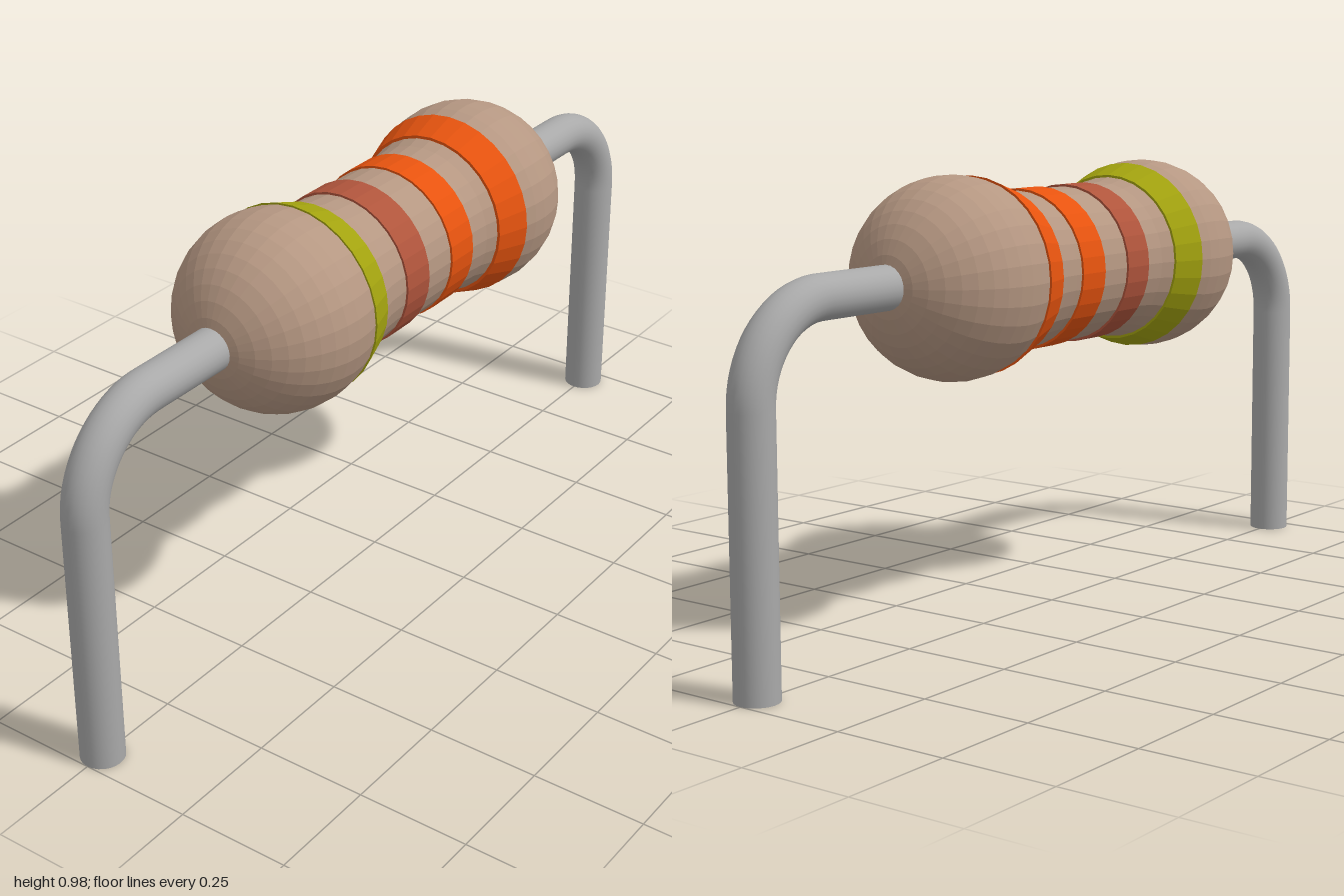
import * as THREE from 'three';

const AXIS_Y = 0.765, SIDES = 32;
const BULB_X = 0.35, BULB_R = 0.217, CORE_R = 0.171;
const WIRE_R = 0.047, WIRE_X = 0.953, BEND = 0.195;

function material(name, color) {
  const m = new THREE.MeshStandardMaterial({ color });
  m.name = name;
  return m;
}

// Faceted solid of revolution along x, from [x, radius] pairs with x ascending
function turned(name, profile, mat) {
  const points = profile.map(([x, r]) => new THREE.Vector2(r, x));
  const geo = new THREE.LatheGeometry(points, SIDES).rotateZ(-Math.PI / 2).toNonIndexed();
  geo.computeVertexNormals();
  const mesh = new THREE.Mesh(geo, mat);
  mesh.name = name;
  mesh.position.y = AXIS_Y;
  return mesh;
}

// Dumbbell body: round bulbs blending into a slimmer core
function bodyProfile() {
  const half = [[0, CORE_R], [0.14, CORE_R], [0.18, 0.174], [0.217, 0.183], [0.25, 0.194]];
  const start = Math.acos((0.287 - BULB_X) / BULB_R);
  for (let i = 0; i <= 12; i++) {
    const a = start * (1 - i / 12);
    half.push([BULB_X + BULB_R * Math.cos(a), BULB_R * Math.sin(a)]);
  }
  const mirrored = half.slice(1).reverse().map(([x, r]) => [-x, r]);
  return [...mirrored, ...half];
}

// Bent wire lead; side is +1 for left and -1 for right
function lead(name, side, mat) {
  const group = new THREE.Group();
  group.name = name;
  const p = (x, y) => new THREE.Vector3(side * x, y, 0);
  const k = BEND * 0.4477;
  const path = new THREE.CurvePath();
  path.add(new THREE.LineCurve3(p(0.5, AXIS_Y), p(WIRE_X - BEND, AXIS_Y)));
  path.add(new THREE.CubicBezierCurve3(
    p(WIRE_X - BEND, AXIS_Y), p(WIRE_X - k, AXIS_Y),
    p(WIRE_X, AXIS_Y - k), p(WIRE_X, AXIS_Y - BEND)));
  path.add(new THREE.LineCurve3(p(WIRE_X, AXIS_Y - BEND), p(WIRE_X, 0)));
  const wire = new THREE.Mesh(new THREE.TubeGeometry(path, 64, WIRE_R, 24), mat);
  wire.name = name + 'Wire';
  const cap = new THREE.Mesh(new THREE.CircleGeometry(WIRE_R, 24).rotateX(Math.PI / 2), mat);
  cap.name = name + 'Tip';
  cap.position.x = side * WIRE_X;
  group.add(wire, cap);
  return group;
}

export function createModel() {
  const tan = material('tan ceramic', 0xb59782);
  const metal = material('grey metal', 0xa9a9a9);
  const olive = material('olive yellow paint', 0xa3a30f);
  const brown = material('red brown paint', 0xb0553c);
  const orange = material('orange paint', 0xe8540f);

  const model = new THREE.Group();
  model.name = 'resistor';
  model.add(turned('body', bodyProfile(), tan));

  // Painted rings: start x, start radius, end x, end radius
  const bands = [
    ['toleranceBand', -0.288, 0.212, -0.216, 0.188, olive],
    ['multiplierBand', -0.125, 0.176, -0.046, 0.176, brown],
    ['secondDigitBand', 0.042, 0.176, 0.122, 0.176, orange],
    ['firstDigitBand', 0.211, 0.188, 0.285, 0.212, orange],
  ];
  for (const [name, x0, r0, x1, r1, mat] of bands) {
    model.add(turned(name, [[x0, 0.16], [x0, r0], [x1, r1], [x1, 0.16]], mat));
  }

  model.add(lead('leftLead', 1, metal), lead('rightLead', -1, metal));
  return model;
}
